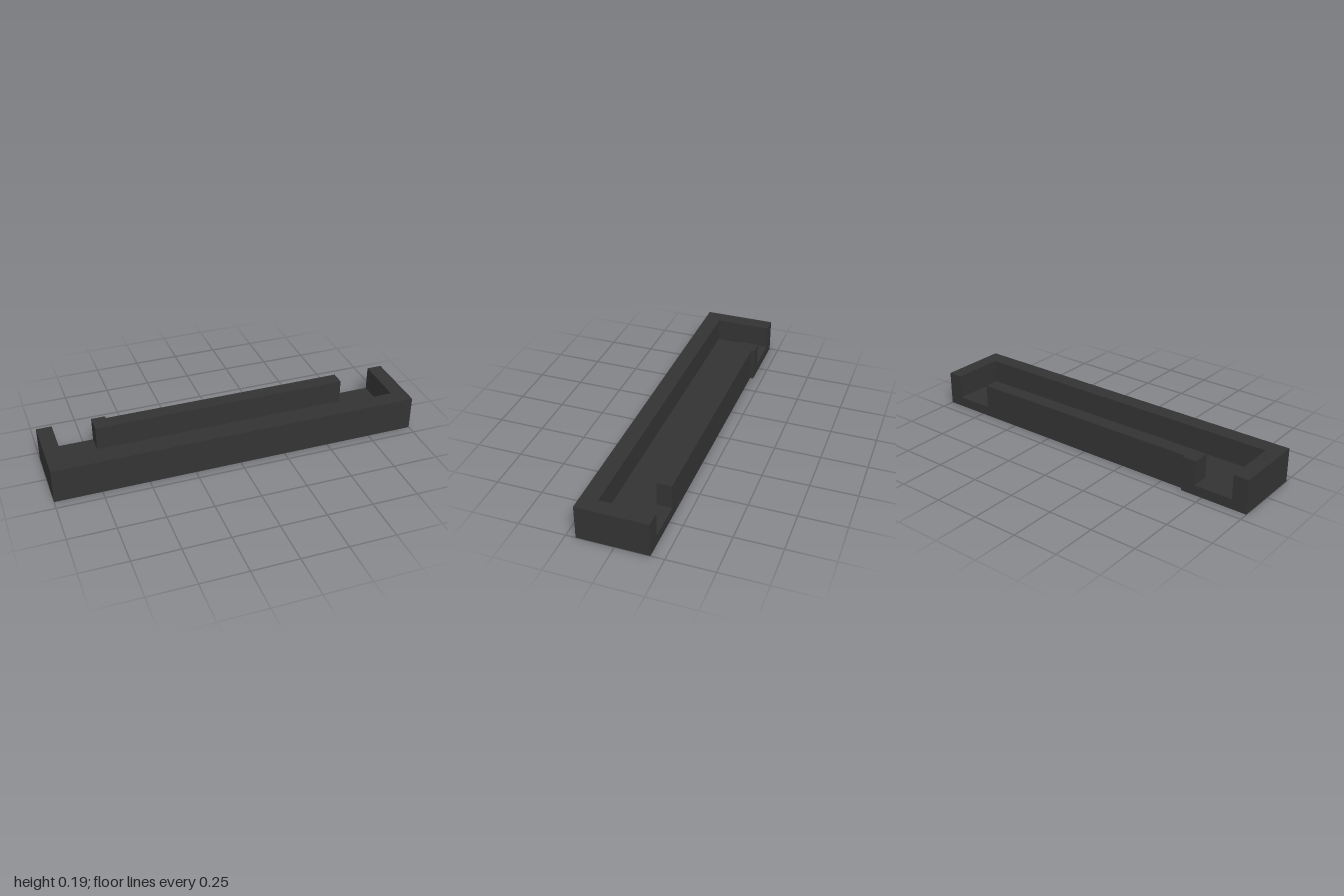
import * as THREE from 'three';

const FLOOR = 0.055, TOP = 0.188;

export function createModel() {
  const group = new THREE.Group();
  const material = new THREE.MeshStandardMaterial({ color: 0x333333, flatShading: true });

  // Raises a plan outline, given as [x, z] corners, from y0 to y1
  const raise = (name, corners, y0, y1) => {
    const shape = new THREE.Shape(corners.map(([x, z]) => new THREE.Vector2(x, -z)));
    const geometry = new THREE.ExtrudeGeometry(shape, { depth: y1 - y0, bevelEnabled: false });
    geometry.rotateX(-Math.PI / 2).translate(0, y0, 0);
    const mesh = new THREE.Mesh(geometry, material);
    mesh.name = name;
    group.add(mesh);
  };

  const front = 0.198, back = -0.198, inset = -0.18;

  // Floor slab, stepped outward at the back near the right end
  raise('floor', [[-1, front], [1, front], [1, inset], [-0.63, inset], [-0.63, back], [-1, back]], 0, FLOOR);

  // Front wall with both end walls
  raise('outerWall', [
    [-1, front], [1, front], [1, inset], [0.917, inset],
    [0.917, 0.108], [-0.917, 0.108], [-0.917, back], [-1, back],
  ], FLOOR, TOP);

  // Back wall between the two doorways, with its stepped end
  raise('backWall', [
    [-0.706, -0.1], [0.708, -0.1], [0.708, inset],
    [-0.63, inset], [-0.63, back], [-0.706, back],
  ], FLOOR, TOP);

  return group;
}
